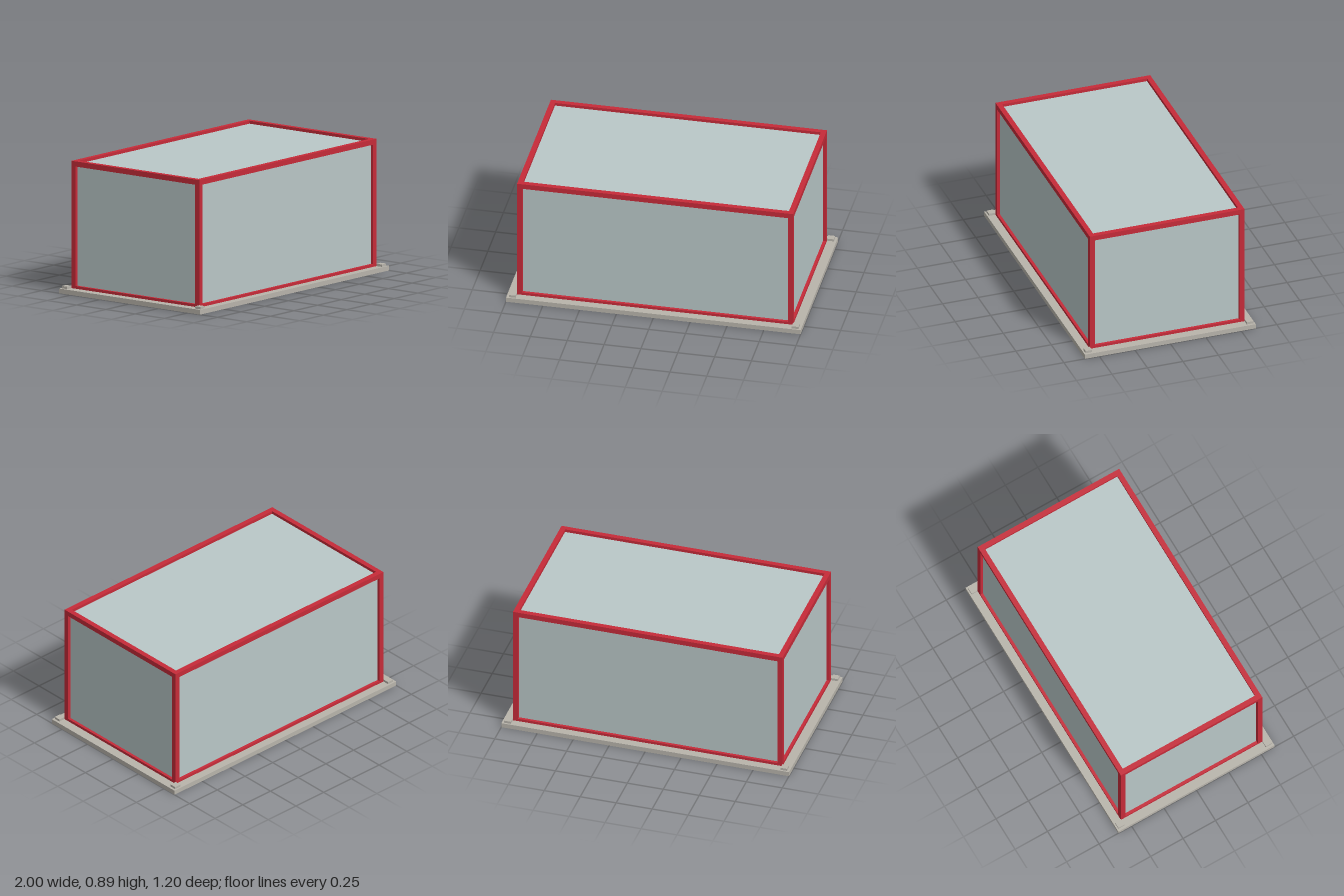
import * as THREE from 'three';

export function createModel() {
  const model = new THREE.Group();
  const mat = (name, color) => {
    const m = new THREE.MeshStandardMaterial({ color });
    m.name = name;
    return m;
  };
  const red = mat('frameRed', 0xc62b39);
  const glass = mat('paleGlass', 0xb9c7c7);
  const stone = mat('baseGrey', 0xb8b4ab);

  const box = (name, material, w, h, d, x, y, z) => {
    const mesh = new THREE.Mesh(new THREE.BoxGeometry(w, h, d), material);
    mesh.name = name;
    mesh.position.set(x, y, z);
    model.add(mesh);
  };

  const X = 0.937, Z = 0.545;       // outer frame half sizes
  const TOP = 0.893, FLOOR = 0.032; // frame top, base top
  const T = 0.035;                  // beam thickness
  const SILL = 0.018;               // visible height of the bottom rails
  const INSET = 0.02, PANE = 0.01;

  // Base slab
  box('baseSlab', stone, 2, FLOOR, 1.204, 0, FLOOR / 2, 0);

  // Posts and corner pads
  for (const sx of [-1, 1]) for (const sz of [-1, 1]) {
    box('cornerPost', red, T, TOP - FLOOR, T, sx * (X - T / 2), (TOP + FLOOR) / 2, sz * (Z - T / 2));
    box('cornerPad', stone, 0.046, 0.016, 0.046, sx * (X + 0.023), FLOOR + 0.008, sz * (Z + 0.023));
  }

  // Top beams and bottom rails, fitted between the posts
  for (const s of [-1, 1]) {
    for (const [name, h, y] of [['topBeam', T, TOP - T / 2], ['bottomRail', SILL, FLOOR + SILL / 2]]) {
      box(name, red, 2 * (X - T), h, T, 0, y, s * (Z - T / 2));
      box(name, red, T, h, 2 * (Z - T), s * (X - T / 2), y, 0);
    }
  }

  // Recessed panes, their edges tucked into the frame
  const lap = 0.01;
  const paneW = 2 * (X - T + lap), paneD = 2 * (Z - T + lap);
  const paneH = TOP - T - FLOOR - SILL + 2 * lap;
  const paneY = (TOP - T + FLOOR + SILL) / 2;
  for (const s of [-1, 1]) {
    box('longPane', glass, paneW, paneH, PANE, 0, paneY, s * (Z - INSET - PANE / 2));
    box('endPane', glass, PANE, paneH, paneD, s * (X - INSET - PANE / 2), paneY, 0);
  }
  box('roofPane', glass, paneW, PANE, paneD, 0, TOP - INSET - PANE / 2, 0);

  return model;
}
